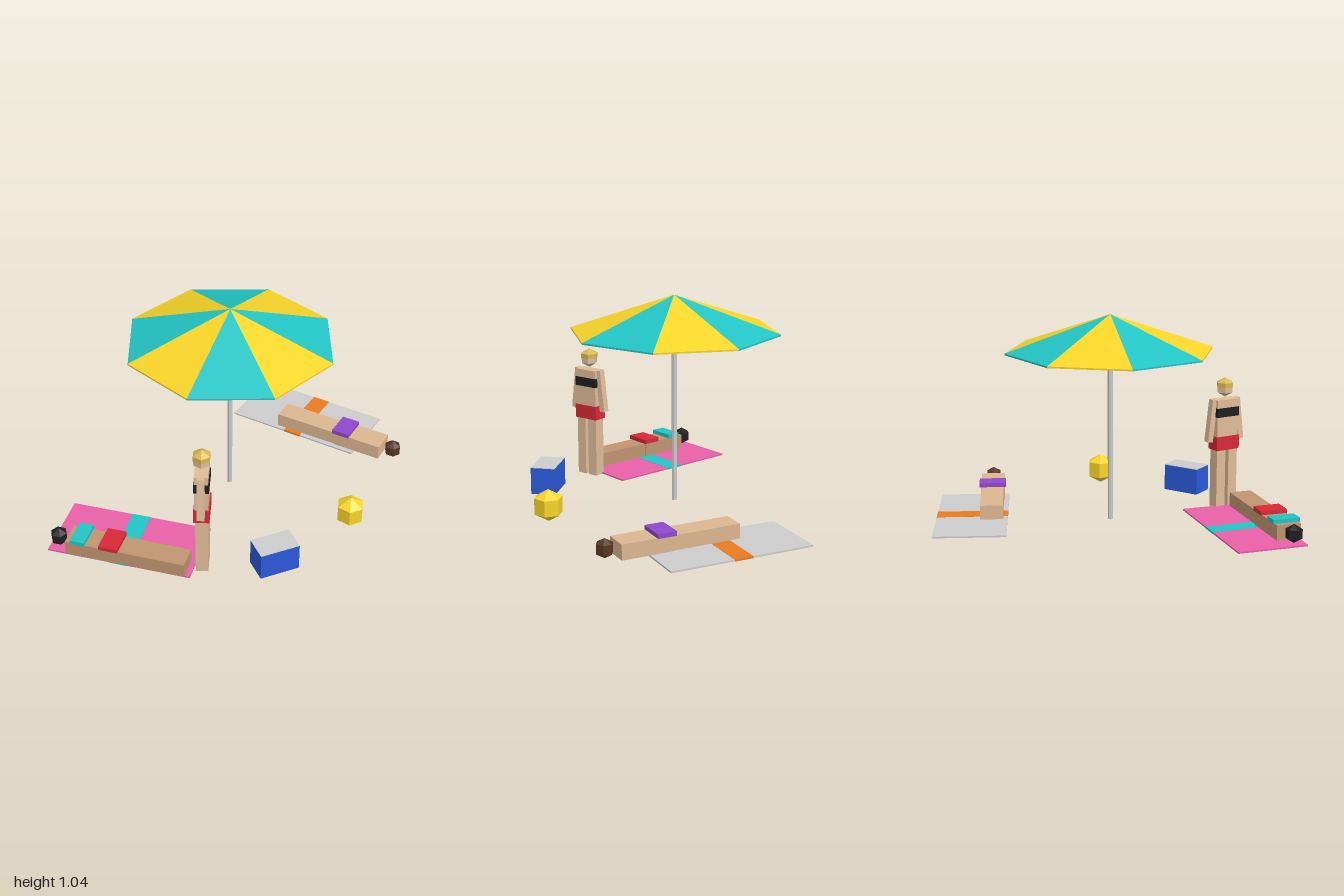
import * as THREE from 'three';

const COLORS = {
  grey: 0xcccccc, teal: 0x22c4c4, yellow: 0xf8d528, pink: 0xe860a8, orange: 0xe87c1e,
  blue: 0x2a58d8, red: 0xd82838, purple: 0x8f48cc, black: 0x1e1e22, brown: 0x553622,
  paleSkin: 0xdfbc98, lightSkin: 0xdcb690, darkSkin: 0xbf9470, blond: 0xd8b850,
};

const material = (color) => new THREE.MeshStandardMaterial({
  color: COLORS[color], flatShading: true, side: THREE.DoubleSide,
});

function part(parent, name, geometry, color, x = 0, y = 0, z = 0) {
  const mesh = new THREE.Mesh(geometry, material(color));
  mesh.name = name;
  mesh.position.set(x, y, z);
  parent.add(mesh);
  return mesh;
}

// Box given by its size, centre x/z and the height of its underside
const box = (parent, name, color, w, h, d, x, bottom, z) =>
  part(parent, name, new THREE.BoxGeometry(w, h, d), color, x, bottom + h / 2, z);

const ball = (r) => new THREE.SphereGeometry(r, 6, 3);

function group(parent, name, x, z, angle = 0) {
  const g = new THREE.Group();
  g.name = name;
  g.position.set(x, 0, z);
  g.rotation.y = THREE.MathUtils.degToRad(angle);
  parent.add(g);
  return g;
}

// Open eight-panel canopy with a narrow rim, on a pole
function addParasol(parent) {
  const g = group(parent, 'parasol', 0.02, 0);
  part(g, 'pole', new THREE.CylinderGeometry(0.013, 0.013, 0.98, 8), 'grey', 0, 0.49, 0);
  for (let i = 0; i < 8; i++) {
    const start = (i * Math.PI) / 4;
    const color = i % 2 ? 'teal' : 'yellow';
    const panel = new THREE.CylinderGeometry(0, 0.522, 0.178, 1, 1, true, start, Math.PI / 4);
    part(g, 'canopyPanel', panel, color, 0, 0.956, 0);
    const rim = new THREE.CylinderGeometry(0.522, 0.522, 0.008, 1, 1, true, start, Math.PI / 4);
    part(g, 'canopyRim', rim, color, 0, 0.863, 0);
  }
}

// Towel with a stripe across its middle
function addTowel(parent, x, z, angle, color, stripe) {
  const g = group(parent, 'towel', x, z, angle);
  box(g, 'towelCloth', color, 0.72, 0.008, 0.358, 0, 0.001, 0);
  box(g, 'towelStripe', stripe, 0.095, 0.01, 0.36, 0, 0, 0);
}

// Lying figure: shoulders at the origin, feet towards local +x
function addSunbather(parent, x, z, angle, skin, hair, shorts, top) {
  const g = group(parent, 'sunbather', x, z, angle);
  part(g, 'head', ball(0.047), hair, -0.055, 0.058, 0);
  box(g, 'torso', skin, 0.26, 0.075, 0.125, 0.13, 0.01, 0);
  box(g, 'legs', skin, 0.34, 0.072, 0.116, 0.43, 0.01, 0);
  box(g, 'shorts', shorts, 0.095, 0.022, 0.138, 0.222, 0.083, 0);
  if (top) box(g, 'topBand', top, 0.072, 0.022, 0.138, 0.065, 0.083, 0);
}

// Standing figure, facing local +z
function addStandingFigure(parent) {
  const g = group(parent, 'standingFigure', -0.34, 0.522, 64);
  for (const side of [-1, 1]) {
    box(g, 'leg', 'paleSkin', 0.053, 0.32, 0.06, side * 0.036, 0, 0);
    const arm = box(g, 'arm', 'paleSkin', 0.03, 0.22, 0.035, side * 0.083, 0.353, 0);
    arm.rotation.z = side * 0.12;
  }
  box(g, 'torso', 'paleSkin', 0.128, 0.262, 0.065, 0, 0.31, 0);
  box(g, 'shorts', 'red', 0.138, 0.072, 0.075, 0, 0.308, 0);
  box(g, 'topBand', 'black', 0.133, 0.047, 0.073, 0, 0.483, 0);
  part(g, 'head', ball(0.049), 'paleSkin', 0, 0.632, 0);
  const cap = [[0, 0.051], [0.045, 0.026], [0.045, 0.002]].map((p) => new THREE.Vector2(...p));
  const hair = part(g, 'hair', new THREE.LatheGeometry(cap, 6), 'blond', 0, 0.632, 0);
  hair.rotation.y = Math.PI / 6;
}

export function createModel() {
  const model = new THREE.Group();
  model.name = 'beachScene';

  addParasol(model);

  addTowel(model, -0.611, 0.238, -38.5, 'pink', 'teal');
  addSunbather(model, -0.895, 0.17, -39, 'darkSkin', 'black', 'red', 'teal');

  addTowel(model, 0.632, -0.348, -53.2, 'grey', 'orange');
  addSunbather(model, 0.86, 0.107, 127.7, 'lightSkin', 'brown', 'purple');

  addStandingFigure(model);

  // Cooler with a thin lid
  const cooler = group(model, 'cooler', -0.031, 0.672);
  box(cooler, 'coolerBody', 'blue', 0.2, 0.138, 0.125, 0, 0, 0);
  box(cooler, 'coolerLid', 'grey', 0.2, 0.003, 0.125, 0, 0.138, 0);

  part(model, 'beachBall', ball(0.08), 'yellow', 0.442, 0.08, 0.535);

  // The hexagonal ball profiles of the hair and head share their corners
  model.getObjectByName('hair').rotation.y = Math.PI / 6;
  return model;
}
